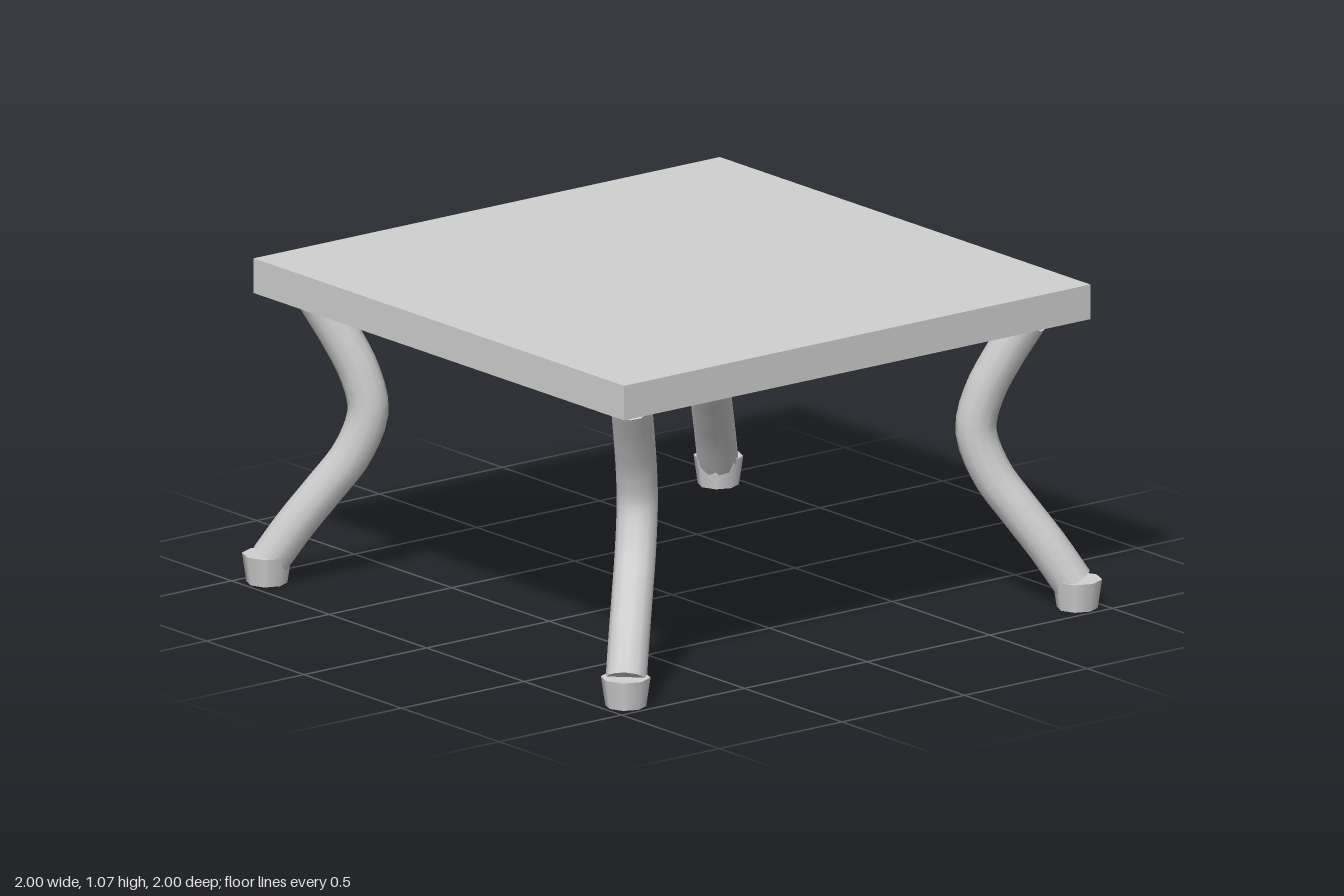
import * as THREE from 'three';

export function createModel() {
  const model = new THREE.Group();
  model.name = 'table';
  const grey = new THREE.MeshStandardMaterial({ color: 0xd0d0d0 });
  grey.name = 'light grey';

  const add = (parent, name, geometry) => {
    const mesh = new THREE.Mesh(geometry, grey);
    mesh.name = name;
    parent.add(mesh);
    return mesh;
  };

  // Square slab top
  add(model, 'tableTop', new THREE.BoxGeometry(1.9, 0.115, 1.9)).position.y = 1.0145;

  // Curved leg running along the diagonal: [offset on x and z, height]
  const points = [[0.91, 0.083], [0.853, 0.2], [0.79, 0.315], [0.725, 0.44], [0.69, 0.58],
    [0.708, 0.7], [0.75, 0.82], [0.806, 0.95]];
  const path = new THREE.CatmullRomCurve3(points.map(([d, y]) => new THREE.Vector3(d, y, d)));
  const legGeometry = new THREE.TubeGeometry(path, 24, 0.066, 12);
  const capGeometry = new THREE.CircleGeometry(0.066, 12);
  const footGeometry = new THREE.CylinderGeometry(0.08, 0.066, 0.095, 8);

  for (let i = 0; i < 4; i++) {
    const leg = new THREE.Group();
    leg.name = 'leg' + (i + 1);
    leg.rotation.y = i * Math.PI / 2;
    add(leg, 'legTube', legGeometry);

    // Flat ends of the tube
    for (const [t, sign] of [[0, -1], [1, 1]]) {
      const cap = add(leg, 'legEnd', capGeometry);
      cap.position.copy(path.getPointAt(t));
      const outward = path.getTangentAt(t).multiplyScalar(sign);
      cap.quaternion.setFromUnitVectors(new THREE.Vector3(0, 0, 1), outward);
    }

    // Tapered octagonal foot
    add(leg, 'foot', footGeometry).position.set(0.92, 0.0475, 0.92);
    model.add(leg);
  }
  return model;
}
